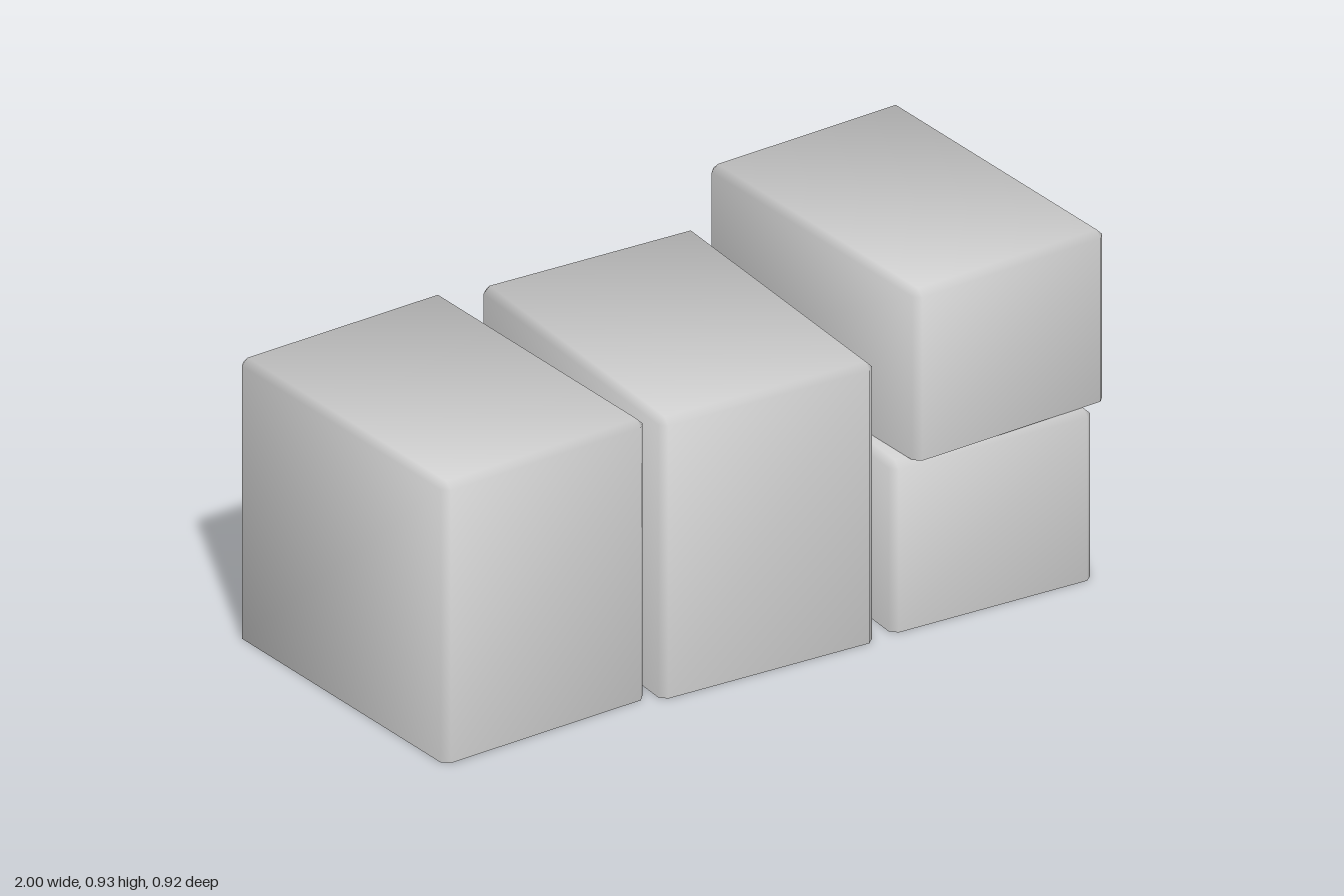
import * as THREE from 'three';

// Open-bottomed box with chamfered top and upright edges; normals averaged over neighbouring panels.
function chamferedBox(w, h, d, b) {
  const x = w / 2, z = d / 2;
  const pts = [];
  // lower and upper octagon rings, then the inset lid corners
  const ring = (y) => {
    for (const [px, pz] of [
      [x, z - b], [x, -z + b], [x - b, -z], [-x + b, -z],
      [-x, -z + b], [-x, z - b], [-x + b, z], [x - b, z],
    ]) pts.push(new THREE.Vector3(px, y, pz));
  };
  ring(0);
  ring(h - b);
  for (const [sx, sz] of [[1, 1], [1, -1], [-1, -1], [-1, 1]]) {
    pts.push(new THREE.Vector3(sx * (x - b), h, sz * (z - b)));
  }

  const faces = [[16, 17, 18, 19]]; // lid
  for (let i = 0; i < 8; i++) {
    const j = (i + 1) % 8;
    faces.push([i, j, 8 + j, 8 + i]); // walls and upright chamfers
  }
  for (let k = 0; k < 4; k++) {
    const a = 8 + 2 * k, n = (k + 1) % 4;
    faces.push([a, a + 1, 16 + n, 16 + k]); // lid chamfer
    faces.push([a + 1, 8 + ((2 * k + 2) % 8), 16 + n]); // corner
  }

  const normals = pts.map(() => new THREE.Vector3());
  const index = [];
  for (const f of faces) {
    const n = new THREE.Vector3()
      .subVectors(pts[f[1]], pts[f[0]])
      .cross(new THREE.Vector3().subVectors(pts[f[2]], pts[f[0]]))
      .normalize();
    f.forEach((i) => normals[i].add(n));
    for (let i = 1; i < f.length - 1; i++) index.push(f[0], f[i], f[i + 1]);
  }

  const geo = new THREE.BufferGeometry();
  geo.setAttribute('position', new THREE.Float32BufferAttribute(pts.flatMap((p) => p.toArray()), 3));
  geo.setAttribute('normal', new THREE.Float32BufferAttribute(normals.flatMap((n) => n.normalize().toArray()), 3));
  geo.setIndex(index);
  return geo;
}

export function createModel() {
  const group = new THREE.Group();
  const grey = new THREE.MeshStandardMaterial({ color: 0xcccccc, side: THREE.DoubleSide });
  grey.name = 'light grey';

  const addBox = (name, [w, h, d], [x, y, z], turn = 0) => {
    const mesh = new THREE.Mesh(chamferedBox(w, h, d, 0.018), grey);
    mesh.name = name;
    mesh.position.set(x, y, z);
    mesh.rotation.y = turn;
    group.add(mesh);
  };

  // two tall boxes, and a stack of two low ones
  addBox('rightTallBox', [0.61, 0.765, 0.86], [-0.662, 0, 0.004], 0.085);
  addBox('middleTallBox', [0.61, 0.765, 0.86], [0.01, 0, 0.005]);
  addBox('lowerStackedBox', [0.575, 0.465, 0.865], [0.658, 0, -0.01]);
  addBox('upperStackedBox', [0.575, 0.465, 0.865], [0.675, 0.465, -0.012], 0.087);

  return group;
}
